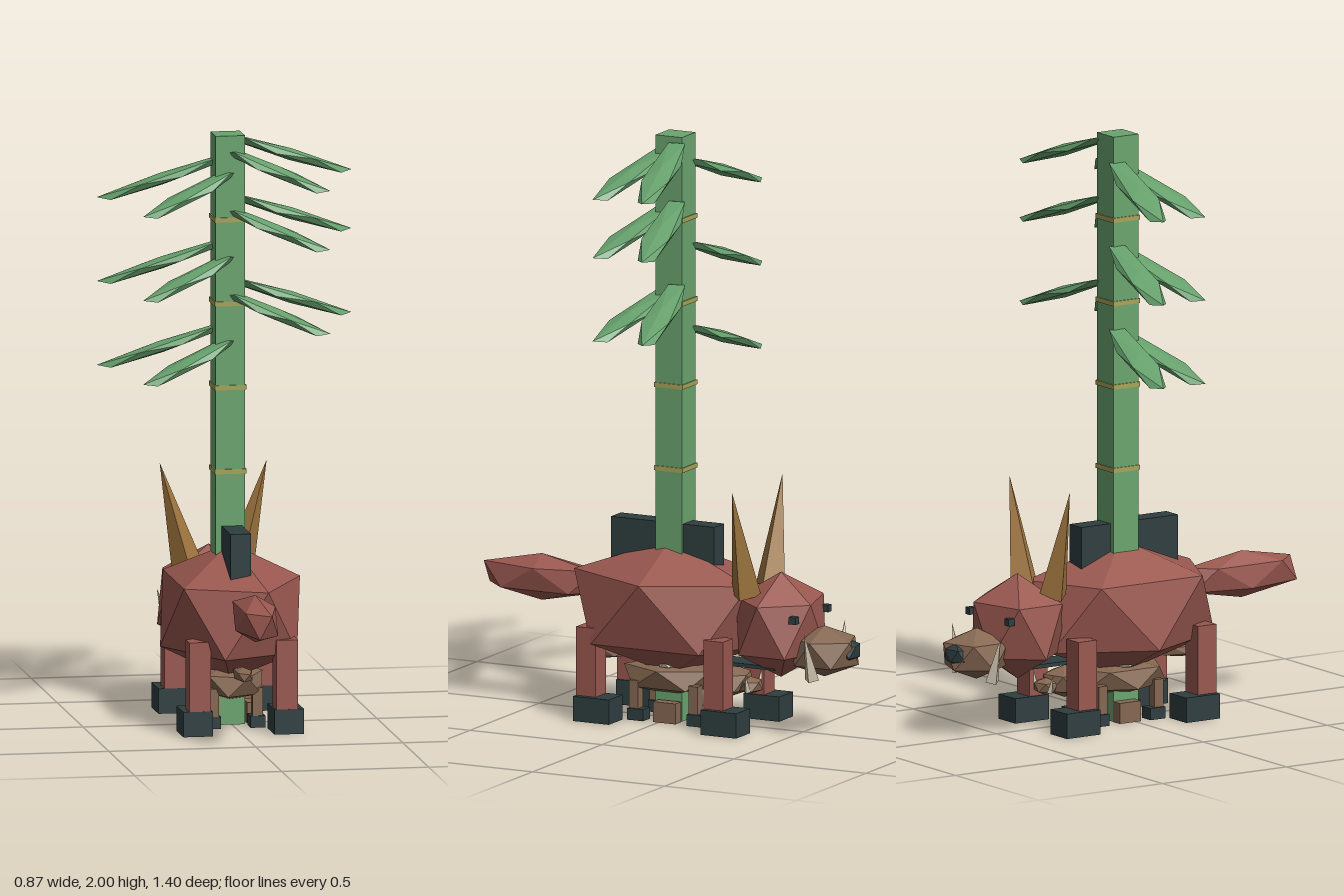
import * as THREE from 'three';

const mat = (name, color) => {
  const m = new THREE.MeshStandardMaterial({ color, flatShading: true });
  m.name = name;
  return m;
};

// Faceted gem: two poles and two offset rings of five corners
function gemGeometry(rx, ry, rz) {
  const pos = [0, ry, 0, 0, -ry, 0];
  for (let k = 0; k < 2; k++) {
    for (let i = 0; i < 5; i++) {
      const a = (i + k * 0.5) * Math.PI * 0.4;
      pos.push(Math.cos(a) * rx, (k ? -1 : 1) * ry * 0.49, Math.sin(a) * rz);
    }
  }
  const index = [];
  for (let i = 0; i < 5; i++) {
    const u = 2 + i, u2 = 2 + (i + 1) % 5, l = 7 + i, l2 = 7 + (i + 1) % 5;
    index.push(0, u2, u, u, u2, l, u2, l2, l, 1, l, l2);
  }
  const g = new THREE.BufferGeometry();
  g.setAttribute('position', new THREE.Float32BufferAttribute(pos, 3));
  g.setIndex(index);
  const flat = g.toNonIndexed();
  flat.computeVertexNormals();
  return flat;
}

export function createModel() {
  const red = mat('red hide', 0x9a5850);
  const brown = mat('brown hide', 0x866852);
  const dark = mat('dark hoof', 0x2f3e40);
  const green = mat('stalk green', 0x6aa56f);
  const leafGreen = mat('leaf green', 0x66a06c);
  const ringColor = mat('joint olive', 0xa8a45a);
  const hornColor = mat('horn tan', 0xa0763f);
  const ivory = mat('ivory', 0xd2c7b2);

  const model = new THREE.Group();
  const add = (name, geometry, material, x, y, z) => {
    const mesh = new THREE.Mesh(geometry, material);
    mesh.name = name;
    mesh.position.set(x, y, z);
    model.add(mesh);
    return mesh;
  };
  const gem = (name, m, x, y, z, rx, ry, rz) => add(name, gemGeometry(rx, ry, rz), m, x, y, z);
  // Box given by its lower and upper corners
  const box = (name, m, x0, x1, y0, y1, z0, z1) => add(name,
    new THREE.BoxGeometry(x1 - x0, y1 - y0, z1 - z0), m, (x0 + x1) / 2, (y0 + y1) / 2, (z0 + z1) / 2);
  // Four-sided spike from a base point to a tip
  const spike = (name, m, base, tip, r) => {
    const a = new THREE.Vector3(...base), b = new THREE.Vector3(...tip);
    const d = b.clone().sub(a);
    const mid = a.clone().add(b).multiplyScalar(0.5);
    const mesh = add(name, new THREE.ConeGeometry(r, d.length(), 4), m, mid.x, mid.y, mid.z);
    mesh.quaternion.setFromUnitVectors(new THREE.Vector3(0, 1, 0), d.normalize());
  };

  // Large animal, facing -z
  gem('body', red, 0, 0.38, 0, 0.238, 0.231, 0.347);
  gem('tail', red, 0, 0.435, 0.49, 0.068, 0.08, 0.22);
  gem('head', red, 0, 0.36, -0.415, 0.175, 0.18, 0.148);
  gem('muzzle', brown, 0, 0.285, -0.58, 0.108, 0.087, 0.118);
  gem('nose', dark, -0.01, 0.292, -0.668, 0.05, 0.04, 0.034);
  box('saddle', dark, -0.035, 0.035, 0.48, 0.675, -0.18, 0.21);
  for (const s of [-1, 1]) {
    spike('horn', hornColor, [s * 0.085, 0.47, -0.33], [s * 0.182, 0.835, -0.325], 0.055);
    spike('tusk', ivory, [s * 0.1, 0.205, -0.585], [s * 0.147, 0.365, -0.58], 0.026);
    add('eye', new THREE.BoxGeometry(0.024, 0.024, 0.026), dark, s * 0.117, 0.405, -0.525);
    for (const z of [0.227, -0.255]) {
      add('leg', new THREE.BoxGeometry(0.074, 0.24, 0.074), red, s * 0.148, 0.2, z);
      add('foot', new THREE.BoxGeometry(0.1, 0.085, 0.135), dark, s * 0.155, 0.0425, z - 0.03);
    }
  }

  // Small animal sheltering beneath
  gem('youngBody', brown, 0, 0.145, 0, 0.11, 0.065, 0.17);
  gem('youngTail', brown, 0, 0.205, 0.25, 0.03, 0.025, 0.085);
  gem('youngHead', brown, 0, 0.15, -0.225, 0.075, 0.055, 0.075);
  gem('youngMuzzle', brown, 0, 0.14, -0.3, 0.045, 0.03, 0.04);
  box('youngBrow', dark, -0.035, 0.06, 0.212, 0.225, -0.42, -0.17);
  for (const s of [-1, 1]) {
    gem('youngEar', ivory, s * 0.06, 0.195, -0.015, 0.025, 0.015, 0.03);
    spike('youngTusk', ivory, [s * 0.04, 0.125, -0.31], [s * 0.06, 0.19, -0.31], 0.012);
    box('youngMiddleLeg', brown, s * 0.075 - 0.02, s * 0.075 + 0.02, 0, 0.07, -0.065, 0.02);
    for (const z of [0.095, -0.13]) {
      add('youngLeg', new THREE.BoxGeometry(0.035, 0.1, 0.035), brown, s * 0.075, 0.085, z);
      add('youngFoot', new THREE.BoxGeometry(0.05, 0.04, 0.06), dark, s * 0.075, 0.02, z - 0.01);
    }
  }

  // Tall jointed stalk
  box('stalk', green, -0.055, 0.045, 0, 2, -0.063, 0.037);
  for (const y of [0.86, 1.145, 1.43, 1.715]) {
    add('stalkJoint', new THREE.BoxGeometry(0.108, 0.016, 0.108), ringColor, -0.005, y, -0.013);
  }

  // Drooping leaves: each gem is stretched from root to tip
  const leaf = (root, tip) => {
    const a = new THREE.Vector3(...root), b = new THREE.Vector3(...tip);
    const along = b.clone().sub(a);
    const half = along.length() / 2;
    along.normalize();
    const across = along.clone().cross(new THREE.Vector3(0, 1, 0)).normalize();
    const up = across.clone().cross(along);
    const c = a.add(b).multiplyScalar(0.5);
    const mesh = gem('leaf', leafGreen, c.x, c.y, c.z, half, 0.02, 0.05);
    mesh.quaternion.setFromRotationMatrix(new THREE.Matrix4().makeBasis(along, up, across));
  };
  const tiers = [[1, [1.84, 1.64, 1.355]], [-1, [1.77, 1.485, 1.2]]];
  for (const [s, heights] of tiers) {
    for (const y of heights) {
      leaf([s * 0.01, y + 0.145, -0.04], [s * 0.43, y, -0.115]);
      leaf([s * -0.02, y + 0.11, 0.015], [s * 0.315, y - 0.03, 0.13]);
    }
  }
  return model;
}
